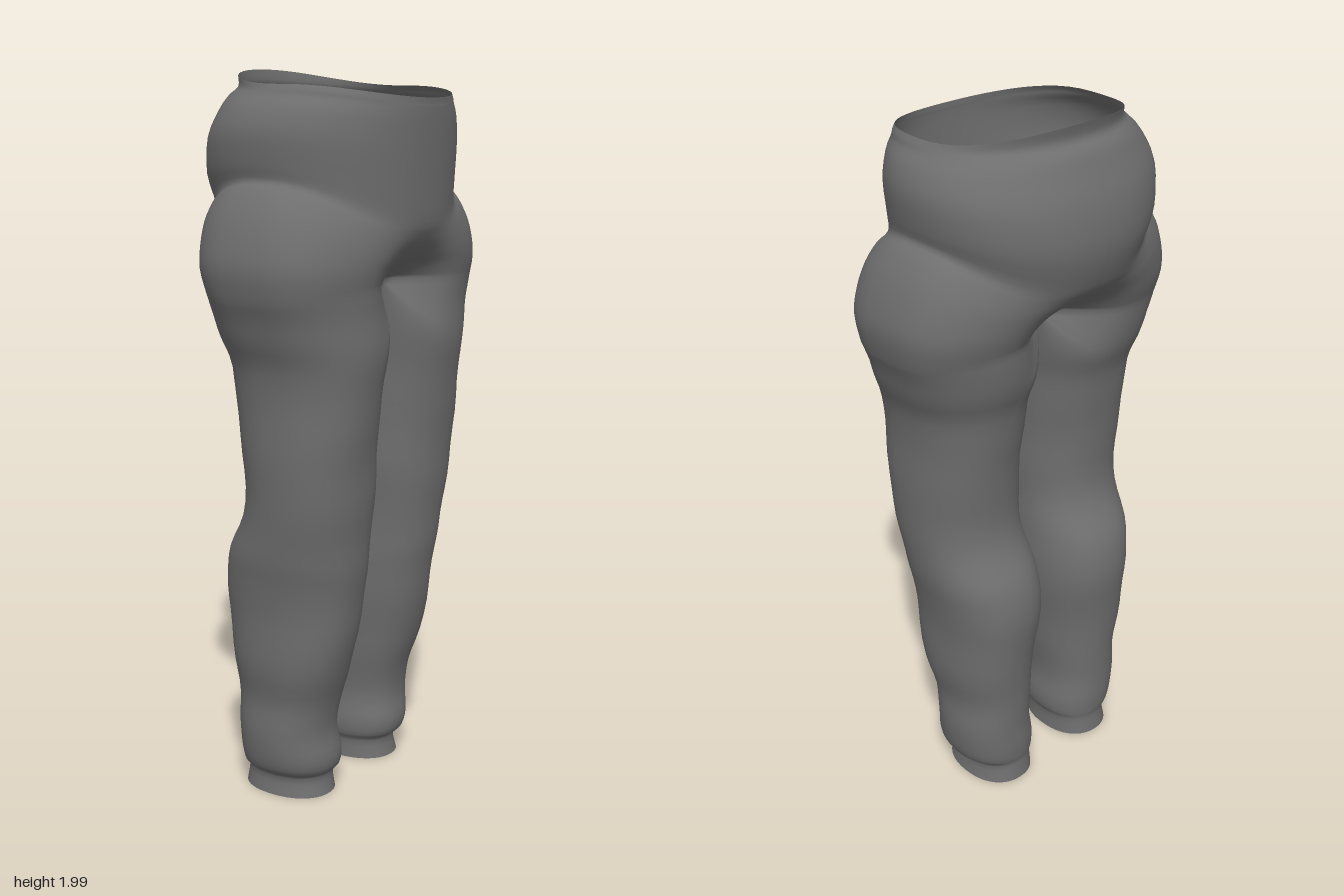
import * as THREE from 'three';
import { mergeVertices } from 'three/addons/utils/BufferGeometryUtils.js';

const N = 40; // points on half a ring

// Leg rings: y, inner x, outer x, front z, back z, blend into the crotch
const LEG = [
  [0.006, 0.06, 0.26, 0.1, -0.165, 0],
  [0.06, 0.062, 0.252, 0.09, -0.16, 0],
  [0.085, 0.05, 0.28, 0.112, -0.165, 0],
  [0.13, 0.048, 0.296, 0.12, -0.168, 0],
  [0.2, 0.058, 0.302, 0.112, -0.165, 0],
  [0.29, 0.052, 0.298, 0.125, -0.17, 0],
  [0.39, 0.043, 0.318, 0.16, -0.175, 0],
  [0.53, 0.028, 0.322, 0.188, -0.195, 0],
  [0.64, 0.02, 0.33, 0.203, -0.2, 0],
  [0.72, 0.026, 0.345, 0.213, -0.182, 0],
  [0.82, 0.028, 0.35, 0.226, -0.125, 0],
  [0.95, 0.025, 0.362, 0.237, -0.112, 0],
  [1.1, 0.024, 0.364, 0.25, -0.13, 0],
  [1.23, 0.018, 0.37, 0.267, -0.15, 0.1],
  [1.31, 0.012, 0.4, 0.277, -0.185, 0.35],
  [1.37, 0.006, 0.418, 0.282, -0.205, 0.7],
  [1.42, 0, 0.438, 0.287, -0.215, 1],
];

// Hip rings: y at side, front and back, outer x, front z, back z, squareness, crotch hollow
const HIPS = [
  [1.42, 1.45, 1.45, 0.438, 0.287, -0.215, 2.8, 1],
  [1.5, 1.485, 1.485, 0.453, 0.292, -0.228, 2.8, 0.7],
  [1.58, 1.515, 1.515, 0.438, 0.297, -0.24, 2.75, 0.4],
  [1.65, 1.545, 1.54, 0.41, 0.299, -0.252, 2.65, 0.18],
  [1.7, 1.575, 1.565, 0.374, 0.301, -0.265, 2.45, 0.06],
  [1.72, 1.61, 1.6, 0.346, 0.304, -0.283, 2.2, 0],
  [1.76, 1.69, 1.7, 0.354, 0.308, -0.312, 2.15, 0],
  [1.84, 1.79, 1.81, 0.36, 0.311, -0.303, 2.15, 0],
  [1.9, 1.865, 1.89, 0.338, 0.313, -0.272, 2.15, 0],
  [1.93, 1.9, 1.935, 0.31, 0.313, -0.25, 2.15, 0],
  [1.945, 1.91, 1.96, 0.3, 0.312, -0.222, 2.15, 0],
  [1.958, 1.925, 2.0, 0.29, 0.312, -0.228, 2.15, 0],
];

const power = (v, p) => Math.sign(v) * Math.pow(Math.abs(v), 2 / p);

// Ring angle from the front, with points gathered near the centre line
function ringAngle(j) {
  const t = (j % (2 * N)) / N * Math.PI;
  return t - 0.3 * Math.sin(2 * t);
}

// Depth of the hollow that runs under the body along the centre line
const hollow = (x, c) => c * (c > 0 ? 0.13 : 0.15) * Math.exp(-((x / 0.12) ** 2));

// Smoothly fill in rows between the key rows
function smoothRows(rows, steps) {
  const out = [];
  for (let i = 0; i < rows.length - 1; i++) {
    const a = rows[Math.max(i - 1, 0)], b = rows[i], c = rows[i + 1];
    const d = rows[Math.min(i + 2, rows.length - 1)];
    for (let s = 0; s < steps; s++) {
      const t = s / steps;
      out.push(b.map((v, k) => v + 0.5 * t * (c[k] - a[k] +
        t * (2 * a[k] - 5 * v + 4 * c[k] - d[k] + t * (3 * (v - c[k]) + d[k] - a[k])))));
    }
  }
  out.push(rows[rows.length - 1]);
  return out;
}

// Closed leg ring that turns into a D shape against the centre line
function legRing([y, xi, xo, zf, zb, w]) {
  const pts = [];
  const p = 2.2 + 0.6 * w, zc = (zf + zb) / 2, b = (zf - zb) / 2;
  for (let j = 0; j <= 2 * N; j++) {
    const t = ringAngle(j);
    const s = j % N === 0 ? 0 : Math.sin(t), c = Math.cos(t);
    const fold = 1 + 0.018 * (1 - w) * Math.sin(21 * y + 2 * t) * Math.sin(11 * y - t);
    const ex = (xi + xo) / 2 + (xo - xi) / 2 * power(s, p) * fold;
    const dx = s > 0 ? xo * power(s, p) : 0;
    const x = ex * (1 - w) + dx * w;
    pts.push([x, y + 0.03 * w * w * c * c, zc + b * power(c, p) * fold - w * hollow(x, c)]);
  }
  return pts;
}

// Open half ring from the front centre round the side to the back centre
function hipRing([y, yf, yb, xo, zf, zb, p, h]) {
  const pts = [];
  const zc = (zf + zb) / 2, b = (zf - zb) / 2;
  for (let j = 0; j <= N; j++) {
    const t = ringAngle(j);
    const s = j % N === 0 ? 0 : Math.sin(t), c = Math.cos(t);
    const x = xo * power(s, p);
    pts.push([x, y + ((c > 0 ? yf : yb) - y) * c * c, zc + b * power(c, p) - h * hollow(x, c)]);
  }
  return pts;
}

// Skin neighbouring rings on both sides of the body
function addSkin(rings, pos) {
  for (const side of [1, -1]) {
    for (let i = 0; i < rings.length - 1; i++) {
      for (let j = 0; j < rings[i].length - 1; j++) {
        const a = rings[i][j], b = rings[i][j + 1];
        const c = rings[i + 1][j + 1], d = rings[i + 1][j];
        const order = side > 0 ? [a, b, c, a, c, d] : [a, c, b, a, d, c];
        for (const v of order) pos.push(v[0] * side, v[1], v[2]);
      }
    }
  }
}

export function createModel() {
  const group = new THREE.Group();
  group.name = 'trousers';
  const cloth = new THREE.MeshStandardMaterial({ color: 0x6e6e6e, side: THREE.DoubleSide });
  cloth.name = 'grey cloth';

  // Legs and hips share one continuous open skin
  const pos = [];
  addSkin(smoothRows(LEG, 3).map(legRing), pos);
  addSkin(smoothRows(HIPS, 3).map(hipRing), pos);
  let geo = new THREE.BufferGeometry();
  geo.setAttribute('position', new THREE.Float32BufferAttribute(pos, 3));
  geo = mergeVertices(geo, 1e-4);
  geo.computeVertexNormals();

  const mesh = new THREE.Mesh(geo, cloth);
  mesh.name = 'legsAndHips';
  group.add(mesh);
  return group;
}
